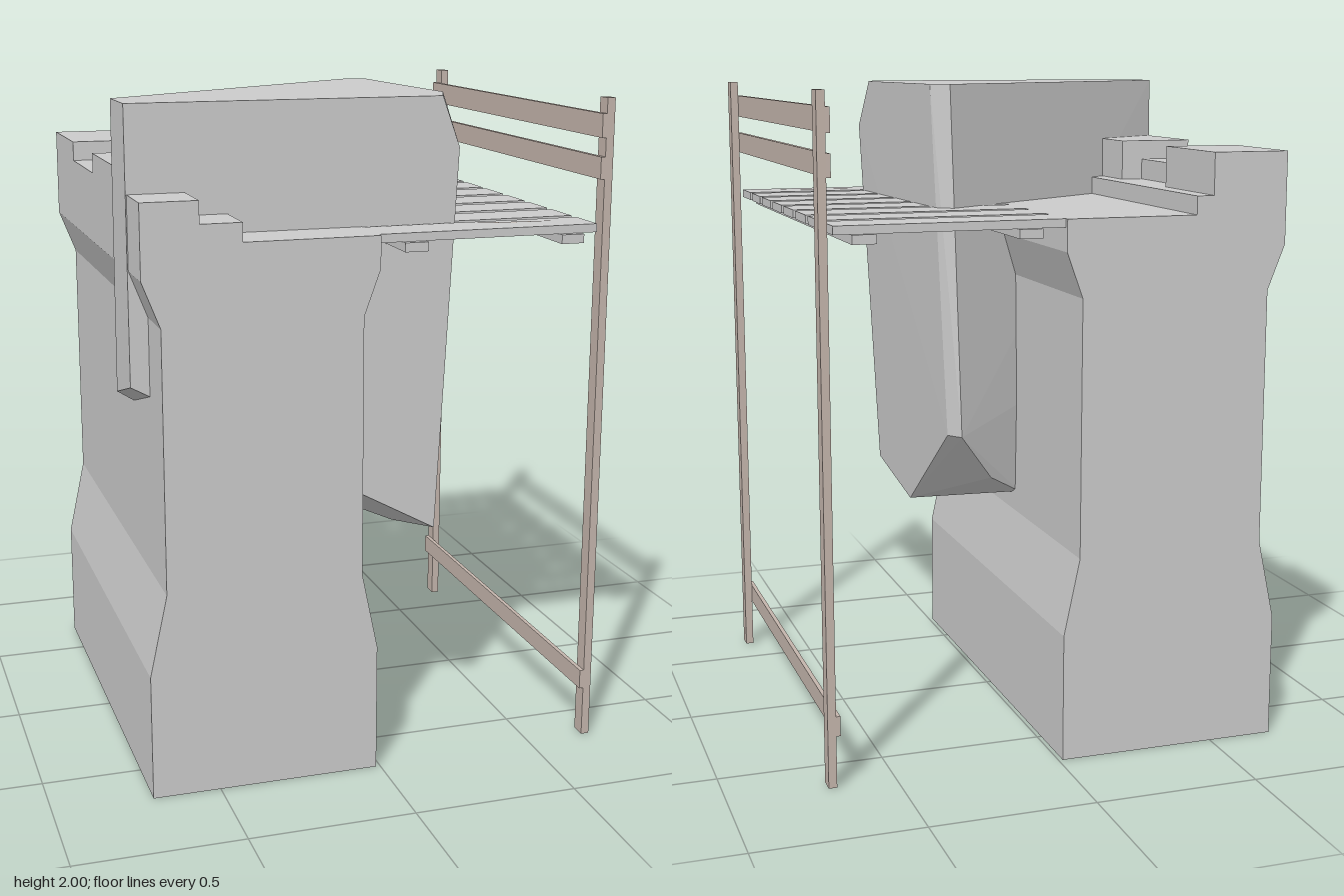
import * as THREE from 'three';
import { ConvexGeometry } from 'three/addons/geometries/ConvexGeometry.js';

const stone = new THREE.MeshStandardMaterial({ color: 0xcccccc, flatShading: true });
const timber = new THREE.MeshStandardMaterial({ color: 0xc4b5ac, flatShading: true });

// Box given by its minimum and maximum along each axis
function block(name, [x0, x1], [y0, y1], [z0, z1], material = stone) {
  const mesh = new THREE.Mesh(new THREE.BoxGeometry(x1 - x0, y1 - y0, z1 - z0), material);
  mesh.position.set((x0 + x1) / 2, (y0 + y1) / 2, (z0 + z1) / 2);
  mesh.name = name;
  return mesh;
}

function createWall() {
  const wall = new THREE.Group();
  wall.name = 'wall';
  // Waisted wall section with a stepped parapet, extruded along z
  const section = new THREE.Shape([
    [-0.703, 0], [-0.013, 0], [-0.013, 0.39], [-0.062, 0.625], [-0.062, 1.4], [-0.013, 1.535],
    [-0.013, 1.63], [-0.415, 1.63], [-0.415, 1.685], [-0.537, 1.685], [-0.537, 1.75],
    [-0.703, 1.75], [-0.703, 1.535], [-0.65, 1.4], [-0.65, 0.625], [-0.703, 0.38],
  ].map(([x, y]) => new THREE.Vector2(x, y)));
  const geometry = new THREE.ExtrudeGeometry(section, { depth: 1.38, bevelEnabled: false });
  geometry.translate(0, 0, -0.69);
  const body = new THREE.Mesh(geometry, stone);
  body.name = 'wallBody';
  wall.add(body);
  // Raised blocks alternating with gaps along the parapet
  for (const z of [-0.69, 0]) {
    wall.add(block('merlon', [-0.703, -0.468], [1.685, 1.81], [z, z + 0.343]));
  }
  return wall;
}

function createWalkway() {
  const walkway = new THREE.Group();
  walkway.name = 'walkway';
  for (let i = 0; i < 8; i++) {
    const z = -0.677 + i * 0.1725;
    walkway.add(block('plank', [-0.013, 0.665], [1.605, 1.63], [z, z + 0.14]));
  }
  for (const x of [0.06, 0.545]) {
    walkway.add(block('joist', [x, x + 0.07], [1.578, 1.605], [-0.69, 0.69]));
  }
  // Thin sliver on the front plank
  const sliver = new THREE.Shape();
  sliver.moveTo(0.3, -0.56);
  sliver.quadraticCurveTo(0.44, -0.575, 0.58, -0.59);
  sliver.quadraticCurveTo(0.42, -0.6, 0.3, -0.56);
  const mark = new THREE.Mesh(new THREE.ShapeGeometry(sliver, 6).rotateX(-Math.PI / 2), timber);
  mark.position.y = 1.632;
  mark.name = 'plankSliver';
  walkway.add(mark);
  return walkway;
}

function createRailing() {
  const railing = new THREE.Group();
  railing.name = 'railing';
  for (const z of [-0.652, 0.652]) {
    railing.add(block('post', [0.68, 0.705], [0.003, 1.995], [z - 0.024, z + 0.024], timber));
  }
  for (const [y0, y1] of [[0.16, 0.22], [1.76, 1.825], [1.88, 1.95]]) {
    railing.add(block('rail', [0.667, 0.68], [y0, y1], [-0.676, 0.676], timber));
  }
  return railing;
}

// Faceted wedge of rock driven through the wall and walkway
function createBoulder() {
  const corners = [
    // flat top
    [-0.706, 2, 0.335], [-0.706, 2, 0.522], [0.232, 2, 0.522], [0.287, 2, 0.38],
    [0.253, 2, -0.22], [0.2, 2, -0.255],
    // chipped front corner and front lower edge
    [0.287, 1.85, 0.522], [0.227, 0.688, 0.522], [-0.706, 1.2, 0.522],
    // underside and rear lower edge
    [0.207, 0.612, 0.2], [-0.706, 1.14, 0.315], [-0.08, 0.685, -0.095],
    [0.045, 0.76, -0.18], [0.172, 0.92, -0.275], [0.205, 0.92, -0.23],
  ];
  const boulder = new THREE.Mesh(
    new ConvexGeometry(corners.map((c) => new THREE.Vector3(...c))), stone);
  boulder.name = 'boulder';
  return boulder;
}

export function createModel() {
  const model = new THREE.Group();
  model.name = 'battlementWithBoulder';
  model.add(createWall(), createWalkway(), createRailing(), createBoulder());
  return model;
}
